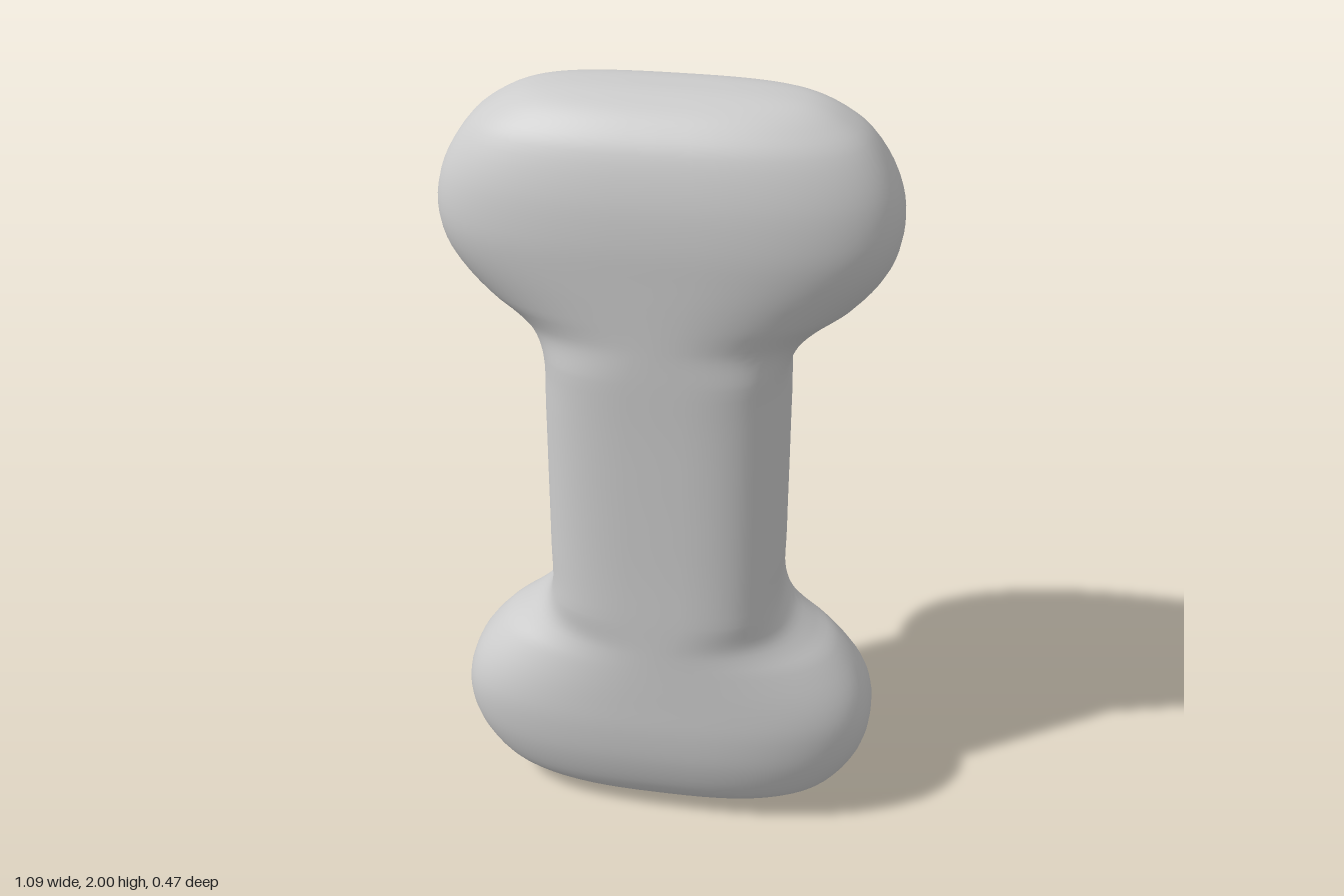
import * as THREE from 'three';

// Half profile from the waist to the tip: [half width, height from the middle, half depth]
const PROFILE = [
  [0.298, 0, 0.226], [0.298, 0.2, 0.227], [0.3, 0.34, 0.23], [0.325, 0.395, 0.231],
  [0.385, 0.45, 0.232], [0.45, 0.5, 0.233], [0.523, 0.6, 0.235], [0.546, 0.7, 0.236],
  [0.527, 0.8, 0.226], [0.465, 0.9, 0.196], [0.4, 0.95, 0.16], [0.34, 0.978, 0.125],
  [0.27, 0.992, 0.085], [0.16, 0.999, 0.045], [0.002, 1, 0.001],
].map(p => new THREE.Vector3(...p));

// Squareness of the cross-section: boxy shaft, rounder neck, pill-shaped knobs
function squareness(h) {
  const neck = THREE.MathUtils.smoothstep(h, 0.32, 0.44);
  const knob = THREE.MathUtils.smoothstep(h, 0.45, 0.68);
  return 3.1 - 0.9 * neck + 0.5 * knob;
}

function boneGeometry(steps = 56, sides = 64) {
  const half = new THREE.CatmullRomCurve3(PROFILE).getPoints(steps);
  // Mirror the half profile so both ends match
  const rings = [
    ...half.slice(1).reverse().map(p => new THREE.Vector3(p.x, -p.y, p.z)),
    ...half,
  ];
  const positions = [], index = [];
  const power = (v, e) => Math.sign(v) * Math.abs(v) ** e;
  rings.forEach((p, i) => {
    const e = 2 / squareness(Math.abs(p.y));
    for (let j = 0; j < sides; j++) {
      const a = (j / sides) * Math.PI * 2;
      const y = THREE.MathUtils.clamp(1 + p.y, 0, 2);
      positions.push(p.x * power(Math.cos(a), e), y, p.z * power(Math.sin(a), e));
      if (i === rings.length - 1) continue;
      const k = (j + 1) % sides, r = i * sides, s = r + sides;
      index.push(r + j, s + j, r + k, r + k, s + j, s + k);
    }
  });
  const geometry = new THREE.BufferGeometry();
  geometry.setAttribute('position', new THREE.Float32BufferAttribute(positions, 3));
  geometry.setIndex(index);
  geometry.computeVertexNormals();
  return geometry;
}

export function createModel() {
  const group = new THREE.Group();
  group.name = 'bone';
  const grey = new THREE.MeshStandardMaterial({ color: 0xcccccc });
  grey.name = 'light grey';
  // Shaft and both knobs as one smooth body
  const body = new THREE.Mesh(boneGeometry(), grey);
  body.name = 'boneBody';
  group.add(body);
  return group;
}
